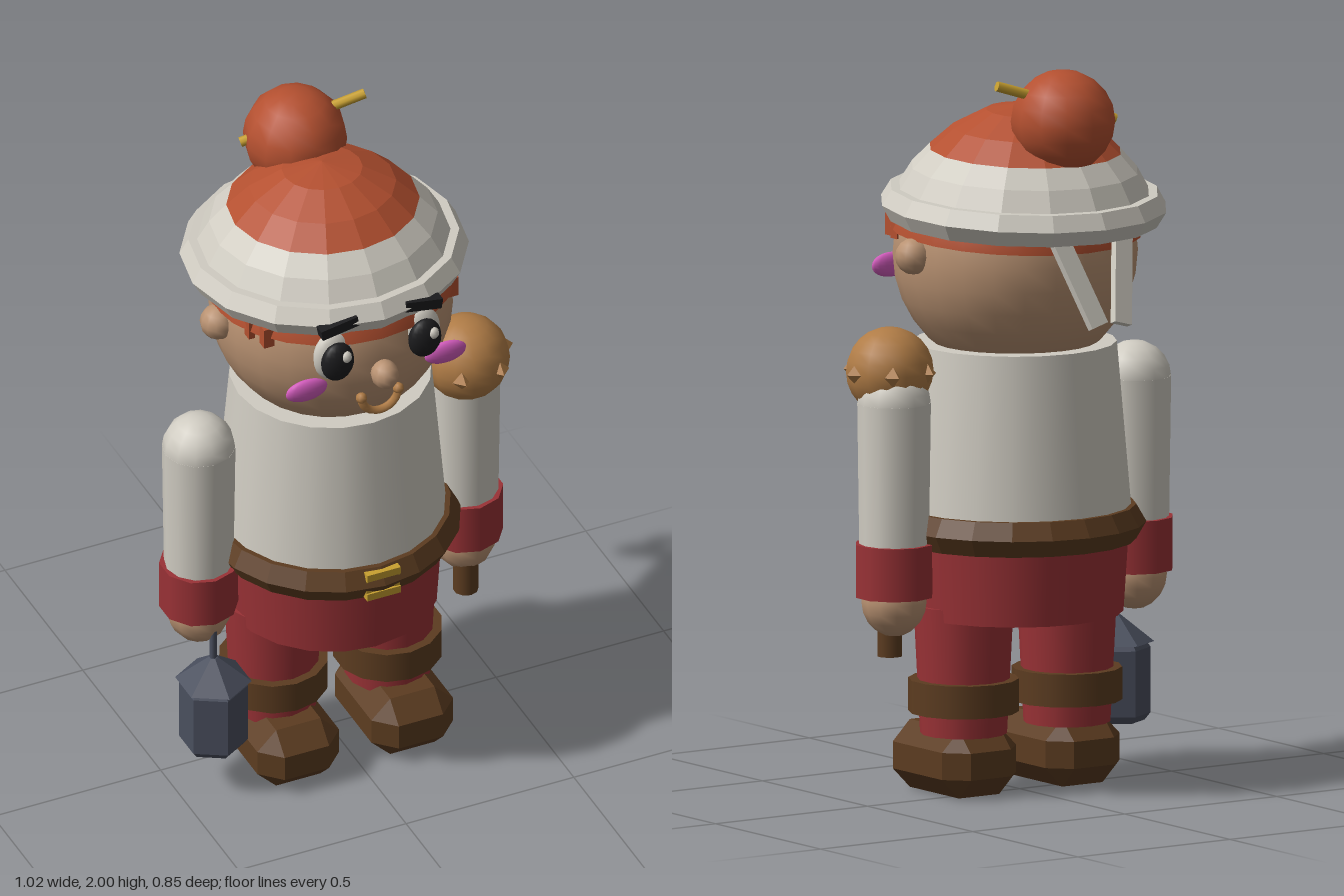
import * as THREE from 'three';
import { ConvexGeometry } from 'three/addons/geometries/ConvexGeometry.js';

const mat = (name, color) => Object.assign(new THREE.MeshStandardMaterial({ color }), { name });

export function createModel() {
  const cloth = mat('off white cloth', 0xd0ccc2), orange = mat('burnt orange', 0xb45030);
  const skin = mat('skin', 0xb99272), red = mat('dark red', 0x9a3236);
  const brown = mat('leather brown', 0x5c3c20), tan = mat('tan wood', 0xb07c46);
  const slate = mat('slate', 0x4a4f5e), gold = mat('gold', 0xc8a030);
  const pink = mat('pink', 0xd45cbe), black = mat('black', 0x1c1c1e);

  const model = new THREE.Group();
  model.name = 'capFigure';
  const figure = new THREE.Group();
  figure.name = 'figure';
  figure.position.set(-0.01, 0, 0.035);
  model.add(figure);

  // Helpers
  const add = (name, geo, material, x = 0, y = 0, z = 0, parent = figure) => {
    const m = new THREE.Mesh(geo, material);
    m.name = name;
    m.position.set(x, y, z);
    parent.add(m);
    return m;
  };
  const flat = (geo) => {
    const g = geo.index ? geo.toNonIndexed() : geo;
    g.computeVertexNormals();
    return g;
  };
  const ball = (rx, ry = rx, rz = rx, w = 16, h = 12) => new THREE.SphereGeometry(1, w, h).scale(rx, ry, rz);
  const drum = (top, bottom, y0, y1, sides = 16) =>
    new THREE.CylinderGeometry(top, bottom, y1 - y0, sides).translate(0, (y0 + y1) / 2, 0);
  const lathe = (points, sides) => flat(new THREE.LatheGeometry(points.map((p) => new THREE.Vector2(...p)), sides));
  const ring = (radius, tube, sides = 20) => flat(new THREE.TorusGeometry(radius, tube, 6, sides).rotateX(-Math.PI / 2));
  const rod = (a, b, radius, sides = 8) => {
    const path = new THREE.Vector3().subVectors(b, a);
    const turn = new THREE.Quaternion().setFromUnitVectors(new THREE.Vector3(0, 1, 0), path.clone().normalize());
    return new THREE.CylinderGeometry(radius, radius, path.length(), sides)
      .applyQuaternion(turn).translate(...a.clone().add(b).multiplyScalar(0.5).toArray());
  };
  const chamferBox = (a, b, d, c) => {
    const pts = [];
    for (const x of [-1, 1]) for (const y of [-1, 1]) for (const z of [-1, 1]) {
      pts.push(new THREE.Vector3(x * a, y * (b - c), z * (d - c)));
      pts.push(new THREE.Vector3(x * (a - c), y * b, z * (d - c)));
      pts.push(new THREE.Vector3(x * (a - c), y * (b - c), z * d));
    }
    return new ConvexGeometry(pts);
  };

  // Torso, belt and breeches
  add('shirt', drum(0.275, 0.32, 0.7, 1.225, 20), cloth);
  add('breeches', drum(0.308, 0.293, 0.485, 0.72, 20), red);
  add('belt', ring(0.3, 0.055), brown, 0, 0.73, 0);
  for (const y of [0.76, 0.697]) add('buckleBar', new THREE.BoxGeometry(0.1, 0.022, 0.04), gold, 0, y, 0.325);
  for (const x of [-0.042, 0.042]) add('buckleSide', new THREE.BoxGeometry(0.016, 0.07, 0.03), gold, x, 0.728, 0.325);

  // Head and face
  add('head', ball(0.333, 0.333, 0.333, 24, 16), skin, 0, 1.47, 0);
  add('nose', ball(0.038, 0.042, 0.042, 12, 8), skin, 0, 1.44, 0.35);
  const smile = new THREE.TorusGeometry(0.055, 0.012, 6, 12, Math.PI).rotateZ(Math.PI);
  add('mouth', smile, tan, 0, 1.355, 0.318);
  for (const s of [-1, 1]) {
    add('ear', ball(0.05, 0.05, 0.05, 12, 8), skin, s * 0.335, 1.487, 0);
    add('mouthCorner', ball(0.016, 0.016, 0.016, 8, 6), tan, s * 0.055, 1.355, 0.318);
    add('eyeWhite', ball(0.058, 0.078, 0.032), cloth, s * 0.13, 1.51, 0.298);
    add('pupil', ball(0.048, 0.06, 0.03), black, s * 0.13, 1.507, 0.326);
    add('eyeGlint', ball(0.016, 0.018, 0.014, 10, 8), cloth, s * 0.13 + 0.017, 1.53, 0.346);
    add('cheek', ball(0.062, 0.034, 0.017), pink, s * 0.207, 1.412, 0.293);
    add('eyebrow', new THREE.BoxGeometry(0.11, 0.03, 0.032), black, s * 0.125, 1.62, 0.318).rotation.z = -s * 0.17;
    // Loose tufts of hair in front of the ears
    [[0.295, 0.13], [0.275, 0.185]].forEach(([x, z]) =>
      add('hairTuft', new THREE.BoxGeometry(0.03, 0.06, 0.03), orange, s * x, 1.545, z));
  }
  const hair = new THREE.SphereGeometry(0.347, 24, 8, 0, Math.PI * 2, 0, 1.4);
  add('hair', hair, orange, 0, 1.472, 0).rotation.x = -0.06;

  // Cap with brim, crown, bobble, pin and back ribbons
  const cap = new THREE.Group();
  cap.name = 'cap';
  cap.position.set(0, 1.605, -0.04);
  cap.rotation.x = -0.05;
  figure.add(cap);
  add('brim', ring(0.342, 0.05, 16), cloth, 0, 0, 0, cap);
  add('capSide', lathe([[0.355, 0], [0.345, 0.04], [0.31, 0.1], [0.262, 0.152]], 16), cloth, 0, 0, 0, cap);
  add('capCrown', lathe([[0.262, 0.152], [0.2, 0.21], [0.11, 0.26], [0, 0.28]], 16), orange, 0, 0, 0, cap);
  add('bobble', ball(0.141, 0.141, 0.145, 12, 10), orange, 0, 1.857, -0.227);
  add('capPin', rod(new THREE.Vector3(-0.147, 1.855, -0.262), new THREE.Vector3(0.19, 1.965, -0.187), 0.014), gold);
  for (const s of [-1, 1]) {
    const tail = add('ribbonTail', new THREE.BoxGeometry(0.055, 0.25, 0.022), cloth, s * 0.07, 1.44, -0.405);
    const along = new THREE.Vector3(s * 0.065, 0.225, 0.09).normalize();
    tail.quaternion.setFromUnitVectors(new THREE.Vector3(0, 1, 0), along);
  }

  // Arms and legs
  for (const s of [-1, 1]) {
    const arm = new THREE.Group();
    arm.name = s > 0 ? 'leftArm' : 'rightArm';
    arm.position.x = s * 0.395;
    figure.add(arm);
    add('shoulder', ball(0.1, 0.1, 0.1, 12, 10), cloth, 0, 1.087, 0.005, arm);
    add('sleeve', drum(0.1, 0.094, 0.65, 1.09, 12), cloth, 0, 0, 0.005, arm);
    add('cuff', drum(0.108, 0.108, 0.56, 0.705, 10), red, 0, 0, 0.005, arm);
    add('hand', ball(0.088, 0.095, 0.09, 12, 10), skin, 0, 0.545, 0.005, arm);

    const leg = new THREE.Group();
    leg.name = s > 0 ? 'leftLeg' : 'rightLeg';
    leg.position.x = s * 0.17;
    figure.add(leg);
    add('trouserLeg', drum(0.136, 0.118, 0.165, 0.52, 14), red, 0, 0, 0, leg);
    add('legBand', drum(0.15, 0.15, 0.225, 0.315, 14), brown, 0, 0, 0, leg);
    add('boot', chamferBox(0.122, 0.093, 0.173, 0.056), brown, 0, 0.093, 0.043, leg);
  }

  // Studded club resting on the left shoulder
  const club = new THREE.Group();
  club.name = 'club';
  club.position.set(0.385, 0, 0.04);
  figure.add(club);
  add('clubHandle', drum(0.035, 0.035, 0.39, 1.12, 10), brown, 0, 0, 0, club);
  add('clubHead', ball(0.12, 0.12, 0.12, 14, 12), tan, 0, 1.172, 0, club);
  for (let i = 0; i < 6; i++) {
    const a = (i * Math.PI) / 3;
    add('clubStud', new THREE.OctahedronGeometry(0.028), tan, 0.113 * Math.cos(a), 1.172, 0.113 * Math.sin(a), club);
  }

  // Lantern hanging from the right hand
  const lantern = new THREE.Group();
  lantern.name = 'lantern';
  lantern.position.set(-0.385, 0, 0.078);
  figure.add(lantern);
  add('lanternBody', lathe([[0, 0.135], [0.078, 0.135], [0.094, 0.155], [0.094, 0.335], [0.08, 0.355]], 6), slate, 0, 0, 0, lantern);
  add('lanternRoof', lathe([[0, 0.35], [0.104, 0.35], [0.012, 0.425], [0, 0.425]], 6), slate, 0, 0, 0, lantern);
  add('lanternStem', drum(0.01, 0.01, 0.41, 0.52, 6), slate, 0, 0, 0, lantern);

  return model;
}
